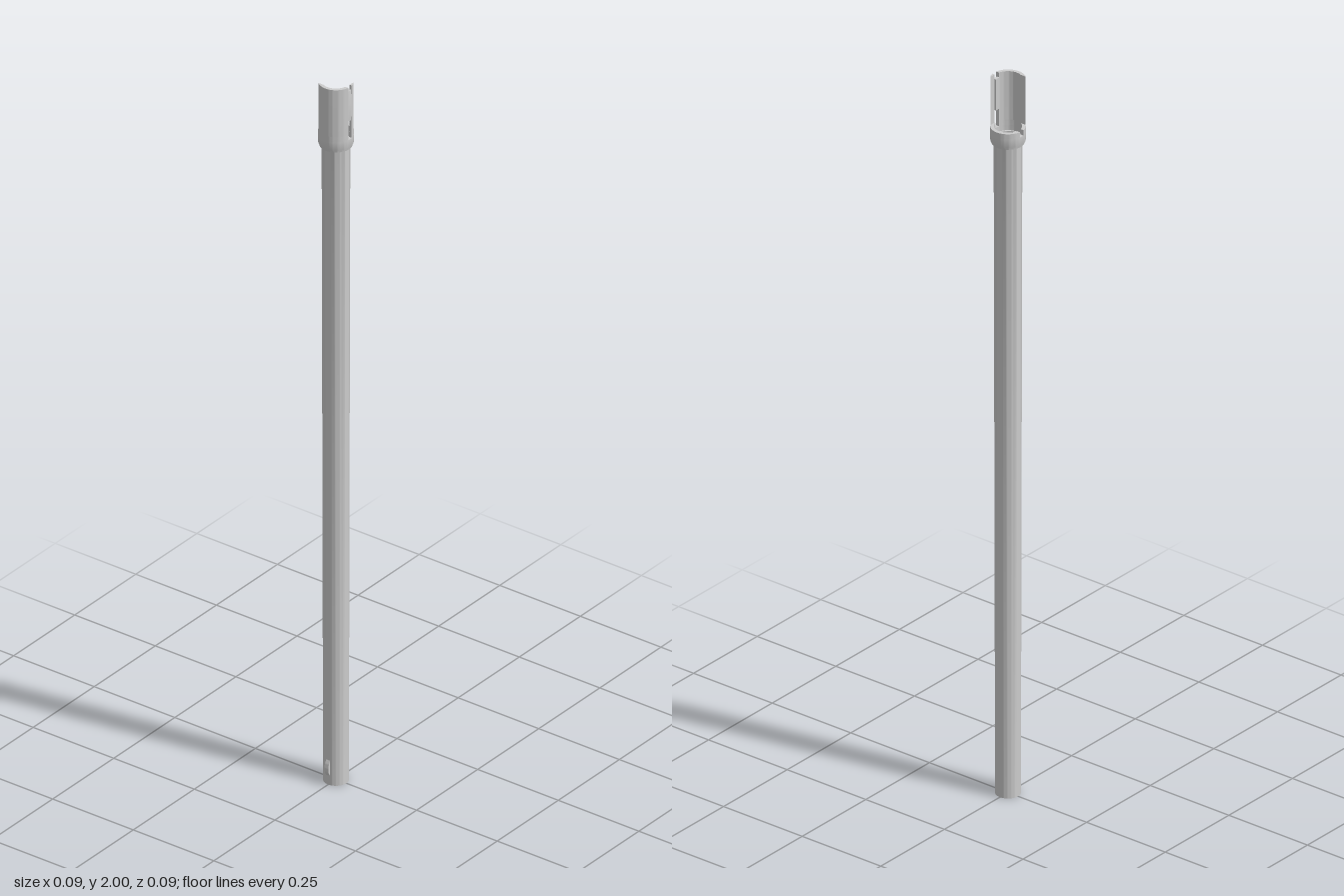
import * as THREE from 'three';
import { toCreasedNormals } from 'three/addons/utils/BufferGeometryUtils.js';

const R_OUT = 0.044, R_IN = 0.035, HALF_SLOT = 0.007;
const material = new THREE.MeshStandardMaterial({ color: 0xcccccc, side: THREE.DoubleSide });

function part(name, geometry) {
  const mesh = new THREE.Mesh(toCreasedNormals(geometry, 0.5), material);
  mesh.name = name;
  return mesh;
}

// Points along an arc, in degrees from +x towards +z (shape y is -z)
function arc(r, from, to, steps = 28) {
  return Array.from({ length: steps + 1 }, (_, i) => {
    const a = THREE.MathUtils.degToRad(from + (to - from) * i / steps);
    return new THREE.Vector2(r * Math.cos(a), -r * Math.sin(a));
  });
}

// Raise a plan outline from height y0 to y1
function raise(points, y0, y1) {
  const geo = new THREE.ExtrudeGeometry(new THREE.Shape(points), { depth: y1 - y0, bevelEnabled: false });
  return geo.rotateX(-Math.PI / 2).translate(0, y0, 0);
}

export function createModel() {
  const group = new THREE.Group();
  group.name = 'slottedPole';

  // Tapered hollow tube with its collar and socket floor
  const profile = [
    [0, 1.78], [0.028, 1.78], [0.028, 0], [0.032, 0], [0.0355, 1.82],
    [0.041, 1.82], [R_OUT, 1.828], [R_OUT, 1.85], [R_IN, 1.85],
    [R_IN, 1.835], [0.031, 1.835], [0.031, 1.83], [0, 1.83],
  ].map(([r, y]) => new THREE.Vector2(r, y));
  group.add(part('tube', new THREE.LatheGeometry(profile, 64)));

  // Collar rim, split by a slot on each side
  const aOut = THREE.MathUtils.radToDeg(Math.asin(HALF_SLOT / R_OUT));
  const aIn = THREE.MathUtils.radToDeg(Math.asin(HALF_SLOT / R_IN));
  for (const [name, turn] of [['collarRimFront', 0], ['collarRimBack', 180]]) {
    const outline = [
      ...arc(R_OUT, turn + aOut, turn + 180 - aOut),
      ...arc(R_IN, turn + 180 - aIn, turn + aIn),
    ];
    group.add(part(name, raise(outline, 1.85, 1.865)));
  }

  // Upright half shell, cut flat at its free end
  const shell = [...arc(R_OUT, aOut, 133), ...arc(R_IN, 114, aIn)];
  group.add(part('shell', raise(shell, 1.865, 2)));

  // Narrow strip of the shell behind the side slot
  const strip = [...arc(R_OUT, -32, -aOut, 8), new THREE.Vector2(0.0365, HALF_SLOT)];
  group.add(part('shellStrip', raise(strip, 1.865, 2)));

  // Catch bridging the upper part of the slot
  const catchShape = new THREE.Shape();
  catchShape.moveTo(0.033, 1.9);
  catchShape.lineTo(0.041, 1.9);
  catchShape.quadraticCurveTo(0.0455, 1.943, 0.041, 1.987);
  catchShape.lineTo(0.033, 1.987);
  const catchGeo = new THREE.ExtrudeGeometry(catchShape, { depth: 2 * HALF_SLOT, bevelEnabled: false });
  group.add(part('slotCatch', catchGeo.translate(0, 0, -HALF_SLOT)));

  // Rounded locking lug near the foot
  const lugShape = new THREE.Shape();
  lugShape.moveTo(0.028, 0.026);
  lugShape.lineTo(0.032, 0.026);
  lugShape.quadraticCurveTo(0.047, 0.048, 0.032, 0.07);
  lugShape.lineTo(0.028, 0.07);
  const lugGeo = new THREE.ExtrudeGeometry(lugShape, { depth: 0.012, bevelEnabled: false });
  group.add(part('lockingLug', lugGeo.translate(0, 0, -0.006).rotateY(-Math.PI / 2)));

  return group;
}
